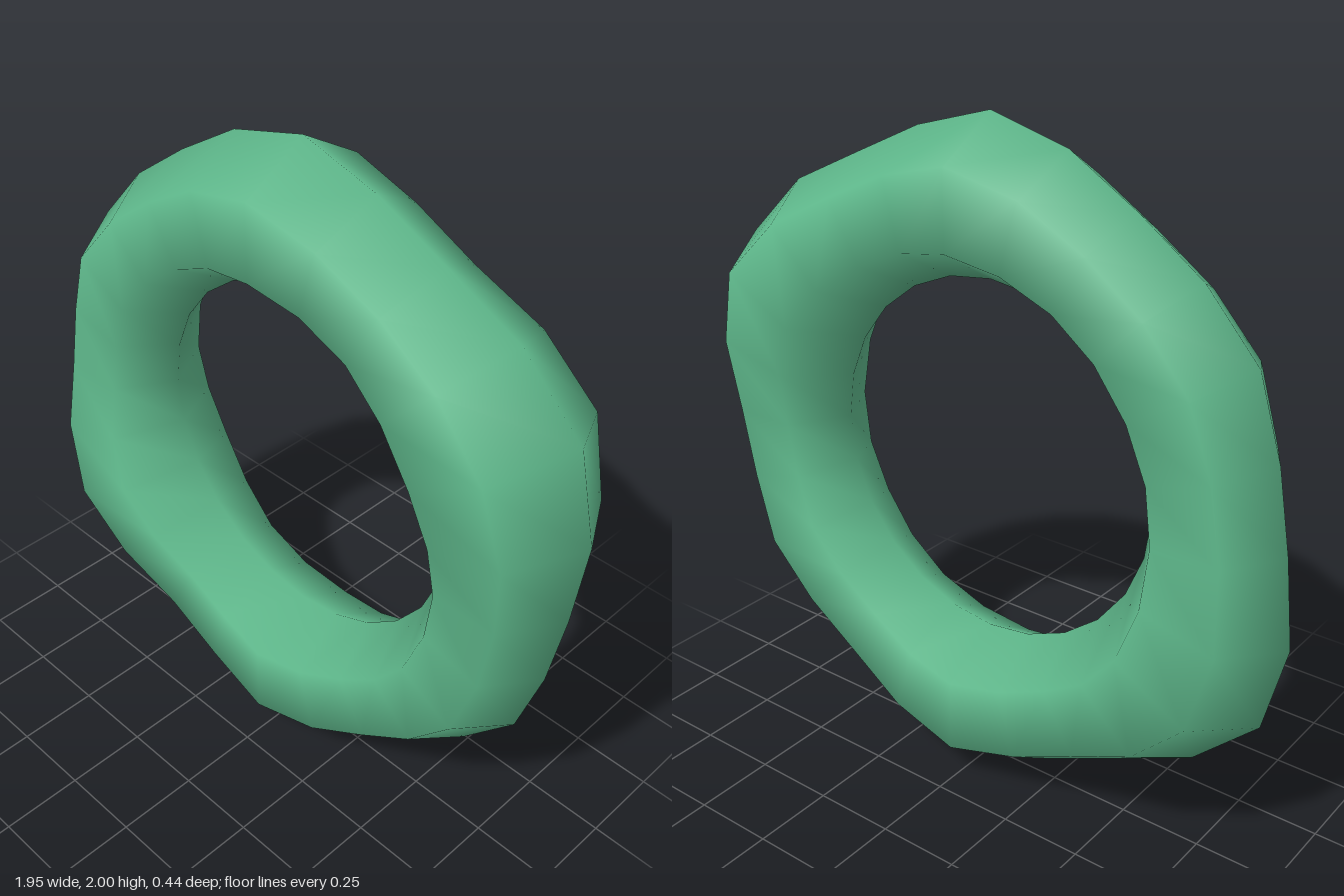
import * as THREE from 'three';

// Tube radius every 15 degrees clockwise from the top; repeats after half a turn
const TUBE = [0.2275, 0.209, 0.204, 0.2325, 0.254, 0.2325, 0.2, 0.194, 0.2045, 0.195, 0.191, 0.21];
const HOLE = 0.545; // constant radius of the hole
const SEGMENTS = 24;
const SIDES = 6;

// Closed ring of hexagonal sections that swell outward from a round hole
function ringGeometry() {
  const positions = [];
  const index = [];
  for (let i = 0; i < SEGMENTS; i++) {
    const a = (i / SEGMENTS) * Math.PI * 2;
    const t = TUBE[i % TUBE.length];
    for (let j = 0; j < SIDES; j++) {
      const b = (j / SIDES) * Math.PI * 2;
      const r = HOLE + t + t * Math.cos(b);
      positions.push(r * Math.sin(a), r * Math.cos(a), t * Math.sin(b));

      // Wrapped quad to the next section
      const i2 = (i + 1) % SEGMENTS;
      const j2 = (j + 1) % SIDES;
      const p = i * SIDES + j, q = i * SIDES + j2;
      const s = i2 * SIDES + j, u = i2 * SIDES + j2;
      index.push(p, q, s, q, u, s);
    }
  }
  const geometry = new THREE.BufferGeometry();
  geometry.setAttribute('position', new THREE.Float32BufferAttribute(positions, 3));
  geometry.setIndex(index);
  geometry.computeVertexNormals();
  return geometry;
}

export function createModel() {
  const group = new THREE.Group();
  group.name = 'unevenRing';
  const ring = new THREE.Mesh(ringGeometry(), new THREE.MeshStandardMaterial({ color: 0x5fb98c }));
  ring.name = 'ring';
  ring.position.y = 1;
  group.add(ring);
  return group;
}
